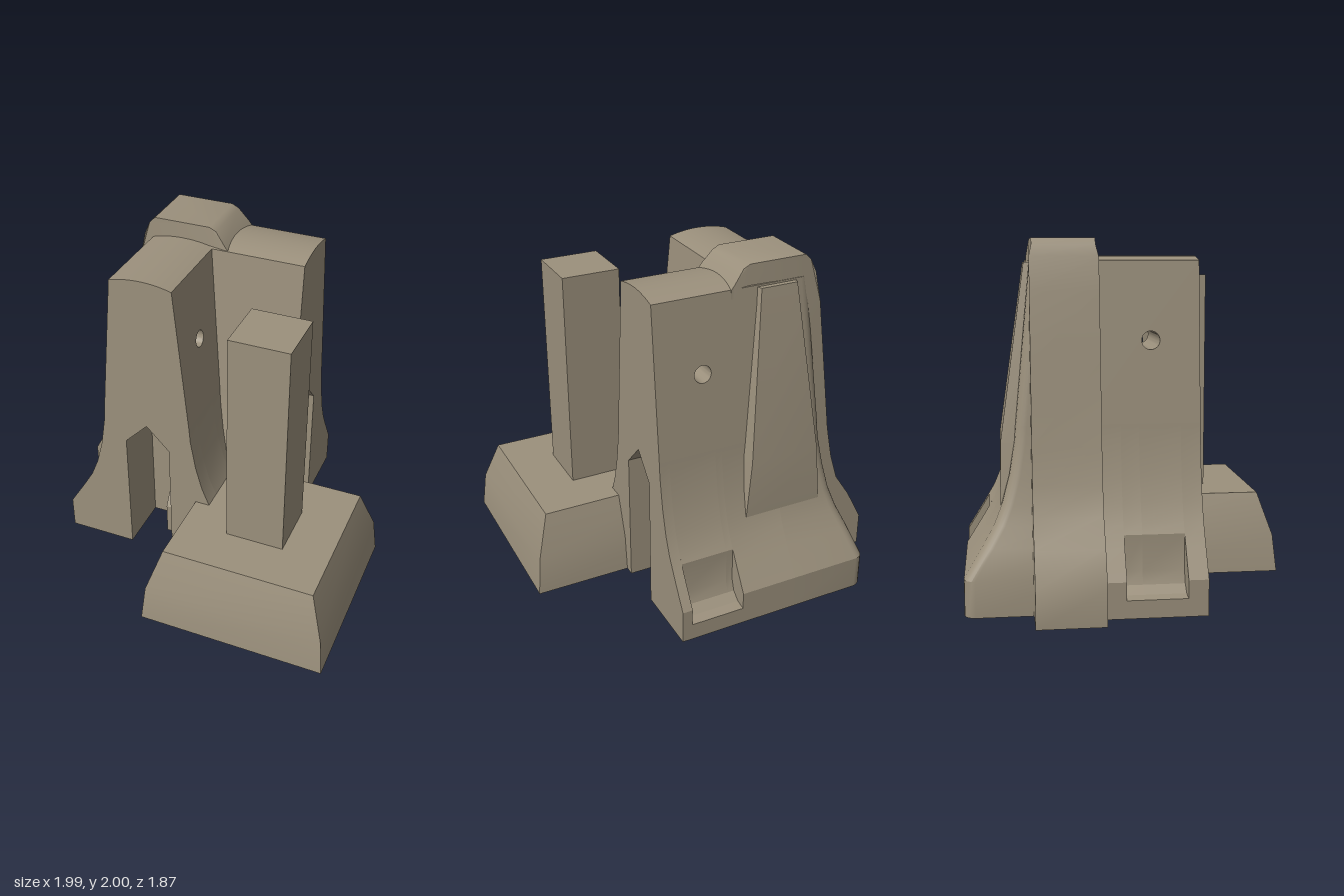
import * as THREE from 'three';
import { toCreasedNormals } from 'three/addons/utils/BufferGeometryUtils.js';

const concrete = new THREE.MeshStandardMaterial({ color: 0x9b907c });
concrete.name = 'concrete';

// Half-width of a flared wall at given heights: [half, y]
const FLARE = [[0.56, 0], [0.56, 0.2], [0.46, 0.36], [0.395, 0.47], [0.35, 0.58], [0.31, 0.73], [0.28, 0.91], [0.273, 1]];
// Outer side where a scooped pocket is cut into the flare
const POCKET = [[0.56, 0], [0.56, 0.1], [0.5, 0.11], [0.45, 0.15], [0.425, 0.22], [0.425, 0.42], ...FLARE.slice(3)];
const SPLIT = 1, SHOULDER = 1.88, TOP_HALF = 0.187;
const upperHalf = (y) => THREE.MathUtils.mapLinear(y, SPLIT, SHOULDER, 0.273, TOP_HALF);

function part(name, geometry) {
  const mesh = new THREE.Mesh(toCreasedNormals(geometry, 0.5), concrete);
  mesh.name = name;
  return mesh;
}

const shapeOf = (points) => new THREE.Shape(points.map(([x, y]) => new THREE.Vector2(x, y)));

function extrude(points, z0, z1) {
  const g = new THREE.ExtrudeGeometry(shapeOf(points), { depth: z1 - z0, bevelEnabled: false });
  return g.translate(0, 0, z0);
}

// Skin between convex rings of [x, y, z], counter-clockwise from above, with caps
function loft(rings) {
  const out = [];
  const tri = (a, b, c) => out.push(...a, ...b, ...c);
  const n = rings[0].length;
  for (let i = 0; i < rings.length - 1; i++) {
    for (let j = 0; j < n; j++) {
      const k = (j + 1) % n, lo = rings[i], hi = rings[i + 1];
      tri(lo[j], lo[k], hi[k]);
      tri(lo[j], hi[k], hi[j]);
    }
  }
  const base = rings[0], top = rings[rings.length - 1];
  for (let j = 1; j < n - 1; j++) {
    tri(base[0], base[j + 1], base[j]);
    tri(top[0], top[j], top[j + 1]);
  }
  const g = new THREE.BufferGeometry();
  g.setAttribute('position', new THREE.Float32BufferAttribute(out, 3));
  return g;
}

// Wall running along z with its open end at `end`; `side` is the outer direction in x
function wallArm(name, { side, start, end, pocket, door, hole }) {
  const arm = new THREE.Group();
  arm.name = name;

  // Flared foot, in slices so that the pocket and the pointed doorway are cut out
  const cuts = [start, pocket[0], door, pocket[1], end];
  for (let i = 0; i < cuts.length - 1; i++) {
    const outer = i === 1 || i === 2 ? POCKET : FLARE;
    const outline = outer.map(([h, y]) => [h * side, y]);
    outline.push(...FLARE.map(([h, y]) => [-h * side, y]).reverse());
    if (i >= 2) {
      outline.push(...[[-0.14, 0], [-0.14, 0.8], [0, 0.945], [0.14, 0.8], [0.14, 0]].map(([x, y]) => [x * side, y]));
    }
    arm.add(part('flaredFoot', extrude(outline, cuts[i], cuts[i + 1])));
  }

  // Tapering upper wall with a round through-hole
  const face = shapeOf([[start, SPLIT], [end, SPLIT], [end, SHOULDER], [start, SHOULDER]]);
  face.holes.push(new THREE.Path().absarc(hole, 1.45, 0.05, 0, Math.PI * 2, true));
  const upper = new THREE.ExtrudeGeometry(face, { depth: 2, bevelEnabled: false, curveSegments: 24 });
  const p = upper.attributes.position;
  for (let i = 0; i < p.count; i++) {
    const u = p.getX(i), y = p.getY(i), w = p.getZ(i) - 1;
    p.setXYZ(i, -w * upperHalf(y), y, u);
  }
  upper.computeVertexNormals();
  arm.add(part('upperWall', upper));

  // Slightly domed top
  const dome = [];
  for (let i = 0; i <= 10; i++) {
    const t = 1 - i / 5;
    dome.push([t * TOP_HALF, SHOULDER + 0.026 * (1 - t * t)]);
  }
  arm.add(part('domedTop', extrude(dome, start, end)));
  return arm;
}

export function createModel() {
  const model = new THREE.Group();
  model.name = 'cornerWallWithPost';

  // Two arms meeting at a right angle
  const frontArm = wallArm('frontArm', {
    side: -1, start: -0.3, end: 0.36, pocket: [-0.08, 0.25], door: 0.02, hole: 0.09,
  });
  frontArm.position.x = -0.325;
  const sideArm = wallArm('sideArm', {
    side: 1, start: -0.3, end: 0.42, pocket: [0.04, 0.36], door: 0.08, hole: 0.14,
  });
  sideArm.rotation.y = Math.PI / 2;
  sideArm.position.z = -0.375;
  model.add(frontArm, sideArm);

  // Tall corner slab, narrowing a little above the arms
  const slab = extrude([
    [-1, 0], [-1, 0.2], [-0.9, 0.39], [-0.8, 0.54], [-0.75, 0.7], [-0.71, 0.9], [-0.65, 1.35], [-0.6, 1.72],
    [-0.56, 1.9], [-0.535, 1.965], [-0.5, 2], [-0.16, 2], [-0.12, 1.98], [-0.06, 1.905], [-0.04, 1.88], [-0.04, 0],
  ], -0.187, 0.187);
  const sp = slab.attributes.position;
  for (let i = 0; i < sp.count; i++) {
    if (sp.getY(i) > 1.91) sp.setZ(i, sp.getZ(i) * 0.92);
  }
  slab.translate(0, 0, -0.38);
  slab.computeVertexNormals();
  model.add(part('cornerSlab', slab));

  // Back of the side arm carried round the corner, with a rounded sloping end
  const endX = [-0.78, -0.78, -0.73, -0.69, -0.66, -0.635, -0.61, -0.605, -0.53];
  const rings = [...FLARE, [TOP_HALF, SHOULDER]].map(([h, y], i) => {
    const z = -0.375 - h, x = endX[i], r = 0.06;
    const ring = [[-0.25, y, -0.38], [-0.25, y, z]];
    for (let k = 0; k <= 5; k++) {
      const a = (k / 5) * Math.PI / 2;
      ring.push([x + r - r * Math.sin(a), y, z + r - r * Math.cos(a)]);
    }
    ring.push([x, y, -0.38]);
    return ring;
  });
  model.add(part('roundedBackCorner', loft(rings)));

  // Tapered rib on the back: [y, right x, left x, z]
  const rib = [[0.45, -0.07, -0.57, -0.735], [0.9, -0.11, -0.53, -0.73], [1.87, -0.21, -0.43, -0.592]];
  model.add(part('backRib', loft(rib.map(([y, r, l, z]) => [
    [r + 0.06, y, -0.4], [r, y, z], [l, y, z], [l - 0.06, y, -0.4],
  ]))));

  // Sloped plinth and square post
  const plinth = [[0, 0.555], [0.22, 0.532], [0.47, 0.45]];
  const cx = 0.433, cz = 0.378;
  model.add(part('plinth', loft(plinth.map(([y, h]) => [
    [cx + h, y, cz + h], [cx + h, y, cz - h], [cx - h, y, cz - h], [cx - h, y, cz + h],
  ]))));
  const post = part('post', new THREE.BoxGeometry(0.345, 1.34, 0.345));
  post.position.set(cx, 1.12, cz);
  model.add(post);

  return model;
}
